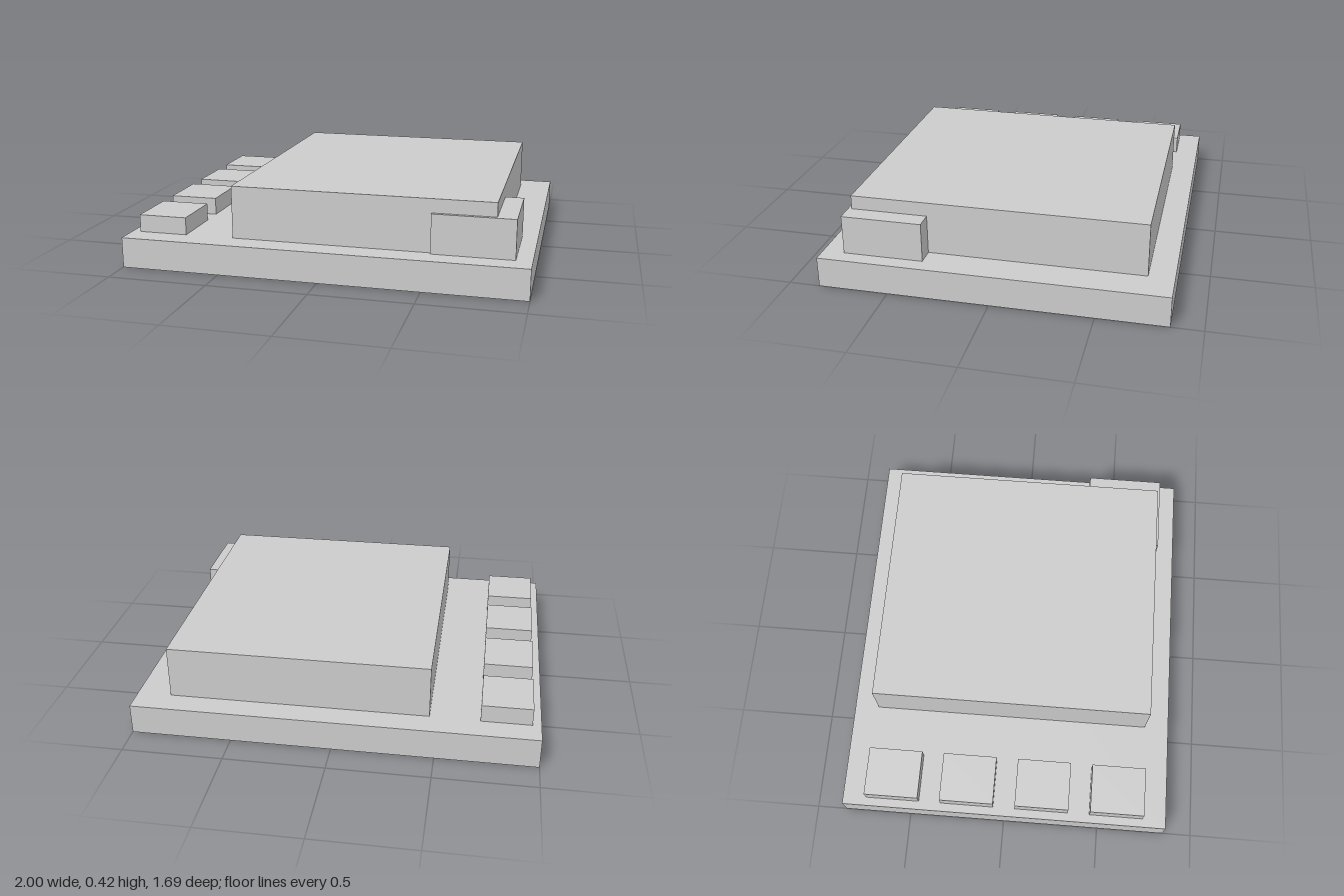
import * as THREE from 'three';

const material = new THREE.MeshStandardMaterial({ color: 0xcccccc, flatShading: true });

// Box given by its extents along each axis
function block(name, [x0, x1], [y0, y1], [z0, z1]) {
  const mesh = new THREE.Mesh(new THREE.BoxGeometry(x1 - x0, y1 - y0, z1 - z0), material);
  mesh.position.set((x0 + x1) / 2, (y0 + y1) / 2, (z0 + z1) / 2);
  mesh.name = name;
  return mesh;
}

export function createModel() {
  const group = new THREE.Group();
  group.name = 'steppedSlab';
  const deck = 0.153;

  // Base slab
  group.add(block('base', [-1, 1], [0, deck], [-0.847, 0.847]));

  // Large raised block and the smaller block at its front corner
  group.add(block('mainBlock', [-0.465, 0.83], [deck, 0.417], [-0.721, 0.721]));
  group.add(block('cornerBlock', [0.525, 0.922], [deck, 0.348], [0.342, 0.739]));

  // Row of four low pads along one side
  for (let i = 0; i < 4; i++) {
    const z = (i - 1.5) * 0.391;
    group.add(block(`pad${i + 1}`, [-0.957, -0.71], [deck, 0.241], [z - 0.139, z + 0.139]));
  }
  return group;
}
